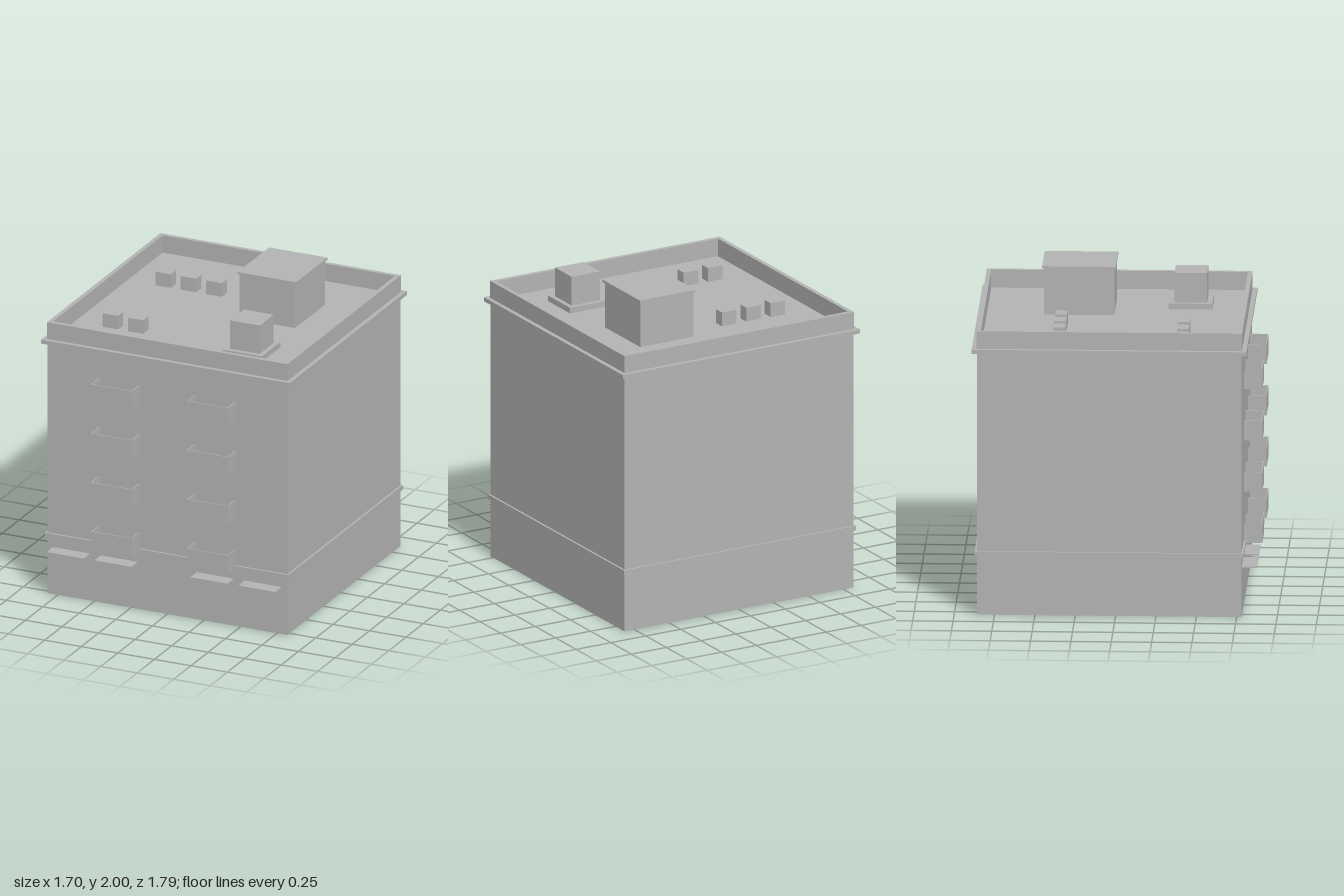
import * as THREE from 'three';

const Z0 = -0.04;     // centre of the building block
const FRONT = 0.78;   // plane of the front wall
const ROOF = 1.69;    // roof deck height

export function createModel() {
  const model = new THREE.Group();
  const concrete = new THREE.MeshStandardMaterial({ color: 0xb3b3b3, side: THREE.DoubleSide });
  concrete.name = 'grey concrete';

  const add = (name, geometry, parent = model) => {
    const mesh = new THREE.Mesh(geometry, concrete);
    mesh.name = name;
    parent.add(mesh);
    return mesh;
  };
  // Box from its minimum and maximum corners
  const box = (name, x0, x1, y0, y1, z0, z1, parent) => {
    const mesh = add(name, new THREE.BoxGeometry(x1 - x0, y1 - y0, z1 - z0), parent);
    mesh.position.set((x0 + x1) / 2, (y0 + y1) / 2, (z0 + z1) / 2);
    return mesh;
  };
  // Square ring around the building
  const ring = (name, outer, inner, y0, y1) => {
    const square = (Type, h) => new Type().moveTo(-h, -h).lineTo(h, -h).lineTo(h, h).lineTo(-h, h).closePath();
    const shape = square(THREE.Shape, outer);
    shape.holes.push(square(THREE.Path, inner));
    const geometry = new THREE.ExtrudeGeometry(shape, { depth: y1 - y0, bevelEnabled: false });
    geometry.rotateX(-Math.PI / 2);
    add(name, geometry).position.set(0, y0, Z0);
  };

  // Ground floor: four thin walls, open underneath
  const groundFloor = new THREE.Group();
  groundFloor.name = 'groundFloorWalls';
  groundFloor.position.z = Z0;
  model.add(groundFloor);
  for (let i = 0; i < 4; i++) {
    const geometry = new THREE.PlaneGeometry(1.64, 0.395);
    geometry.translate(0, 0.1975, 0.82).rotateY(i * Math.PI / 2);
    add('groundFloorWall', geometry, groundFloor);
  }

  // Upper storeys, mouldings and parapet
  box('upperStoreys', -0.82, 0.82, 0.395, ROOF, Z0 - 0.82, Z0 + 0.82);
  ring('lowerMoulding', 0.833, 0.819, 0.375, 0.405);
  ring('cornice', 0.851, 0.819, 1.668, 1.694);
  ring('parapet', 0.823, 0.795, 1.68, 1.805);

  // Balconies: floor, front panel and two side panels
  const t = 0.006;
  for (const x of [-0.33, 0.327]) {
    for (let floor = 0; floor < 4; floor++) {
      const balcony = new THREE.Group();
      balcony.name = 'balcony';
      balcony.position.set(x, 0.387 + floor * 0.327, FRONT);
      model.add(balcony);
      box('balconyFloor', -0.14, 0.14, 0, t, 0, 0.115, balcony);
      box('balconyFront', -0.14, 0.14, 0, 0.124, 0.115 - t, 0.115, balcony);
      box('balconyRightSide', -0.14, -0.14 + t, 0, 0.124, 0, 0.115, balcony);
      box('balconyLeftSide', 0.14 - t, 0.14, 0, 0.124, 0, 0.115, balcony);
    }
  }

  // Entrance canopies
  for (const x of [-0.657, -0.33, 0.327, 0.655]) {
    box('canopy', x - 0.126, x + 0.126, 0.305, 0.313, FRONT, 0.873);
  }

  // Stair house with its overhanging cap
  box('stairHouse', 0.105, 0.485, ROOF, 1.985, -0.48, -0.045);
  box('stairHouseCap', 0.095, 0.495, 1.985, 2, -0.492, -0.035);

  // Large roof unit on a plinth
  box('roofUnitPlinth', 0.27, 0.54, ROOF, 1.727, 0.285, 0.555);
  box('roofUnit', 0.305, 0.51, 1.727, 1.915, 0.32, 0.522);

  // Small vents in two rows
  for (const [x, z] of [[-0.55, -0.36], [-0.377, -0.36], [-0.202, -0.36], [-0.55, 0.407], [-0.377, 0.407]]) {
    box('roofVent', x - 0.053, x + 0.053, ROOF, 1.78, z - 0.037, z + 0.037);
  }
  return model;
}
